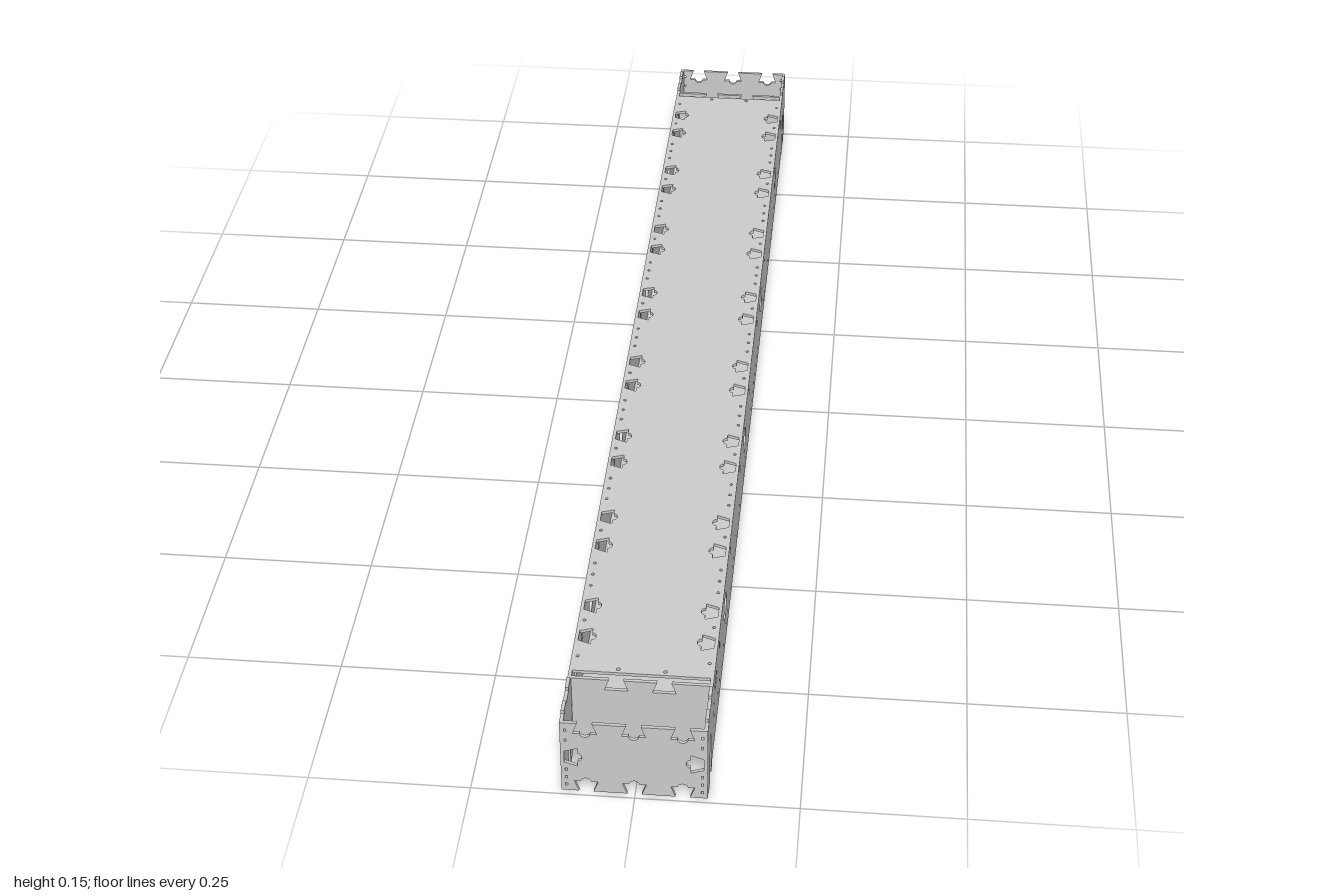
import * as THREE from 'three';

const T = 0.0055; // sheet thickness
const W = 0.105;  // half width between the side walls
const LOW = 0.009, HIGH = 0.147;

const material = new THREE.MeshStandardMaterial({ color: 0xcccccc, flatShading: true });

// Outline of a rectangular sheet with dovetail notches along its four edges.
// notches: { bottom, right, top, left }, each a list of positions along that edge's axis.
function sheetShape(x0, y0, x1, y1, notches, relief = true) {
  const pts = [];
  const edge = (ax, ay, bx, by, list = []) => {
    const len = Math.hypot(bx - ax, by - ay);
    const dx = (bx - ax) / len, dy = (by - ay) / len;
    const put = (s, d) => pts.push(new THREE.Vector2(ax + dx * s - dy * d, ay + dy * s + dx * d));
    put(0, 0);
    const along = list.map((p) => (dx ? (p - ax) * dx : (p - ay) * dy)).sort((a, b) => a - b);
    for (const s of along) {
      put(s - 0.011, 0);
      put(s - 0.018, 0.02);
      // rounded relief at the root of the notch
      if (relief) for (let i = 0; i <= 6; i++) {
        const a = Math.PI * (1 - i / 6);
        put(s + 0.008 * Math.cos(a), 0.02 + 0.007 * Math.sin(a));
      }
      put(s + 0.018, 0.02);
      put(s + 0.011, 0);
    }
  };
  edge(x0, y0, x1, y0, notches.bottom);
  edge(x1, y0, x1, y1, notches.right);
  edge(x1, y1, x0, y1, notches.top);
  edge(x0, y1, x0, y0, notches.left);
  return new THREE.Shape(pts);
}

function roundHole(shape, x, y, r) {
  shape.holes.push(new THREE.Path().absarc(x, y, r, 0, Math.PI * 2, true));
}

function rectHole(shape, x, y, w, h) {
  const p = new THREE.Path();
  p.moveTo(x - w / 2, y - h / 2);
  p.lineTo(x - w / 2, y + h / 2);
  p.lineTo(x + w / 2, y + h / 2);
  p.lineTo(x + w / 2, y - h / 2);
  p.closePath();
  shape.holes.push(p);
}

function sheet(name, shape) {
  const geometry = new THREE.ExtrudeGeometry(shape, { depth: T, bevelEnabled: false, curveSegments: 10 });
  const mesh = new THREE.Mesh(geometry, material);
  mesh.name = name;
  return mesh;
}

// Long side wall, drawn with its length along x
function wallShape() {
  const half = [
    [0.915, LOW], [0.915, 0], [0.935, 0], [0.935, 0.083], [0.955, 0.083], [0.955, 0],
    [0.98, 0], [0.98, LOW], [1, LOW], [1, HIGH], [0.98, HIGH], [0.98, 0.153],
    [0.958, 0.153], [0.958, HIGH], [0.93, HIGH], [0.93, 0.153], [0.908, 0.153], [0.908, HIGH],
  ];
  const mirrored = half.map(([x, y]) => [-x, y]).reverse();
  const s = new THREE.Shape([...half, ...mirrored].map(([x, y]) => new THREE.Vector2(x, y)));
  for (const m of [-1, 1]) {
    // large access holes
    for (const z of [0.22, 0.66]) roundHole(s, m * z, 0.094, 0.024);
    // small slots
    for (const z of [0.11, 0.33, 0.55, 0.775]) rectHole(s, m * z, 0.117, 0.008, 0.016);
    // rounded slot
    const p = new THREE.Path();
    p.absarc(m * 0.85 + 0.014, 0.111, 0.007, Math.PI / 2, -Math.PI / 2, true);
    p.absarc(m * 0.85 - 0.014, 0.111, 0.007, -Math.PI / 2, Math.PI / 2, true);
    p.closePath();
    s.holes.push(p);
    // screw holes near the ends
    for (const z of [0.88, 0.903]) for (const y of [0.066, 0.092]) roundHole(s, m * z, y, 0.0035);
  }
  // row of pin holes for the floor
  for (let i = -30; i <= 30; i++) rectHole(s, i * 0.0275, 0.0375, 0.006, 0.005);
  return s;
}

export function createModel() {
  const group = new THREE.Group();
  group.name = 'slottedTray';

  // Side walls
  for (const m of [-1, 1]) {
    const wall = sheet(m > 0 ? 'leftWall' : 'rightWall', wallShape());
    wall.rotation.y = -Math.PI / 2;
    wall.position.x = m > 0 ? W + T : -W;
    group.add(wall);
  }

  // Top deck with pairs of dovetail notches down both long edges
  const pairs = [];
  for (let k = 0; k < 8; k++) {
    const c = -0.77 + 0.22 * k;
    pairs.push(c - 0.036, c + 0.036);
  }
  const deckShape = sheetShape(-W, -0.885, W, 0.885, { left: pairs, right: pairs });
  for (const m of [-1, 1]) {
    for (let i = -31; i <= 31; i++) {
      const z = i * 0.0275;
      if (pairs.every((p) => Math.abs(p - z) > 0.024)) roundHole(deckShape, m * (W - 0.004), z, 0.0025);
    }
    for (const x of [-0.036, 0.036]) roundHole(deckShape, x, m * 0.877, 0.003);
  }
  const deck = sheet('topDeck', deckShape);
  deck.rotation.x = -Math.PI / 2;
  deck.position.y = HIGH - T;
  group.add(deck);

  // Recessed floor
  const floor = new THREE.Mesh(new THREE.BoxGeometry(2 * W, T, 1.77), material);
  floor.name = 'floor';
  floor.position.y = 0.038;
  group.add(floor);

  // Outer end plates and inner bulkheads
  const three = [-0.073, 0, 0.073];
  for (const m of [-1, 1]) {
    const endShape = sheetShape(-W, LOW, W, HIGH, { bottom: three, top: three, left: [0.078], right: [0.078] });
    for (const x of [-0.1025, 0.1025]) {
      for (const y of [0.021, 0.036, 0.052, 0.112, 0.132]) rectHole(endShape, x, y, 0.0035, 0.005);
    }
    const end = sheet(m > 0 ? 'frontPlate' : 'backPlate', endShape);
    end.position.z = m > 0 ? 1 - T : -1;
    group.add(end);

    const bulkhead = sheet(m > 0 ? 'frontBulkhead' : 'backBulkhead',
      sheetShape(-W, LOW, W, HIGH, { bottom: three, top: [-0.0365, 0.0365] }, false));
    bulkhead.position.z = m * 0.9 - T / 2;
    group.add(bulkhead);
  }
  return group;
}
